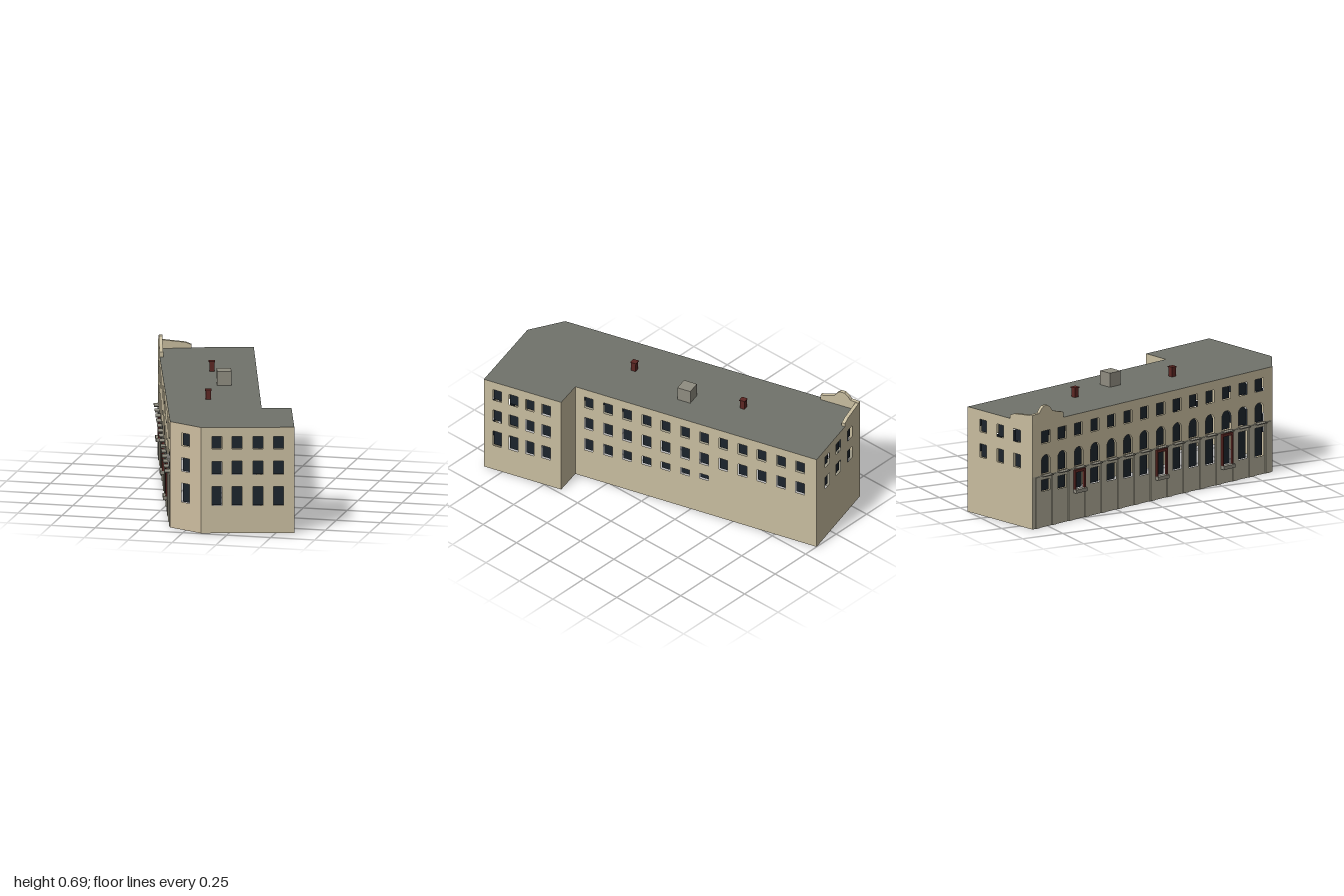
import * as THREE from 'three';

const mat = (color, side = THREE.DoubleSide) => new THREE.MeshStandardMaterial({ color, side });
const STONE = mat(0xc8bd9f), CORNER = mat(0xcdbd9f), BASE = mat(0xaba794), GLASS = mat(0x1c242c),
  ROOF = mat(0x70736b), RED = mat(0x5c2622), GREY = mat(0x8f8c80);
const H = 0.6, RECESS = 0.012, BAND = 0.297;

// Plan corners [x, z], counter-clockwise seen from above
const WN = [-0.6, -0.86], WS = [-0.1, 0.89], S = [0.1, 0.99], SE = [0.6, 0.86],
  NE = [0.47, 0.4], IN = [0.31, 0.44], N = [-0.09, -1];

function mesh(name, geo, material, parent, x = 0, y = 0, z = 0) {
  const m = new THREE.Mesh(geo, material);
  m.name = name;
  m.position.set(x, y, z);
  parent.add(m);
  return m;
}
const box = (name, w, h, d, material, parent, x, y, z) =>
  mesh(name, new THREE.BoxGeometry(w, h, d), material, parent, x, y, z);

// Window opening outline: rectangle, or round-headed when arched
function outline(o, C) {
  const p = new C(), l = o.x - o.w / 2, r = o.x + o.w / 2, R = o.arched ? o.w / 2 : 0;
  p.moveTo(l, o.y0);
  p.lineTo(r, o.y0);
  p.lineTo(r, o.y1 - R);
  if (R) p.absarc(o.x, o.y1 - R, R, 0, Math.PI, false);
  else p.lineTo(l, o.y1);
  p.closePath();
  return p;
}

// Group at wall corner a: +x runs along the wall to b, +z points outward
function wallFrame(name, a, b, parent) {
  const g = new THREE.Group();
  g.name = name;
  g.position.set(a[0], 0, a[1]);
  g.rotation.y = Math.atan2(a[1] - b[1], b[0] - a[0]);
  g.userData.length = Math.hypot(b[0] - a[0], b[1] - a[1]);
  parent.add(g);
  return g;
}

// Thin wall panel with openings and recessed panes
function panel(g, openings, y0 = 0, y1 = H, material = STONE) {
  const L = g.userData.length;
  const s = new THREE.Shape([[0, y0], [L, y0], [L, y1], [0, y1]].map(p => new THREE.Vector2(...p)));
  for (const o of openings) {
    s.holes.push(outline(o, THREE.Path));
    mesh('windowPane', new THREE.ShapeGeometry(outline(o, THREE.Shape), 8), GLASS, g, 0, 0, -RECESS);
  }
  mesh('wallPanel', new THREE.ShapeGeometry(s, 8), material, g);
}

const TOP = [0.477, 0.548], MID = [0.332, 0.408], LOW = [0.157, 0.264];
const win = (x, [y0, y1], w = 0.055, arched = false) => ({ x, y0, y1, w, arched });
const grid = (xs, rows) => xs.flatMap(x => rows.map(r => win(x, r)));

function buildWest(root) {
  const g = wallFrame('westFacade', WN, WS, root);
  const doors = { 2: 0.175, 7: 0.135, 11: 0.105 };
  const upper = [], lower = [], step = 0.1247, first = 0.1;
  for (let i = 0; i < 14; i++) {
    const x = first + i * step;
    upper.push(win(x, TOP, 0.062), win(x, [0.303, 0.411], 0.066, true));
    const sill = doors[i] ?? 0.205 - i * 0.0077;
    lower.push(win(x, [sill, 0.27], 0.066));
    box('balconySlab', 0.072, 0.006, 0.027, GREY, g, x, 0.296, 0.0135);
    if (doors[i]) {
      // Entrance surround and landing
      for (const side of [-1, 1])
        box('doorJamb', 0.01, 0.285 - sill, 0.014, RED, g, x + side * 0.036, (0.285 + sill) / 2, 0.007);
      box('doorLintel', 0.082, 0.015, 0.014, RED, g, x, 0.2775, 0.007);
      box('doorLanding', 0.085, 0.02, 0.027, GREY, g, x, sill - 0.01, 0.0135);
    }
  }
  panel(g, upper, BAND, H, STONE);
  panel(g, lower, 0, BAND, BASE);
  // Shallow piers between the ground floor bays
  for (let i = 0; i < 15; i++)
    box('basePier', 0.035, BAND - 0.005, 0.005, BASE, g, first + (i - 0.5) * step, (BAND - 0.005) / 2, 0.0025);
}

function parapet(name, g, pts) {
  const s = new THREE.Shape(pts.map(p => new THREE.Vector2(...p)));
  mesh(name, new THREE.ExtrudeGeometry(s, { depth: 0.02, bevelEnabled: false }), STONE, g, 0, 0, -0.02);
}

export function createModel() {
  const root = new THREE.Group();
  root.name = 'building';

  buildWest(root);
  panel(wallFrame('cornerWall', WS, S, root), grid([0.112], [TOP, MID, LOW]), 0, H, CORNER);
  panel(wallFrame('southWall', S, SE, root), grid([0.088, 0.2, 0.315, 0.428], [TOP, MID, LOW]));

  // Wing and long east wall: ground floor sills rise toward the back
  const wing = [0.083, 0.183, 0.284, 0.385];
  panel(wallFrame('wingWall', SE, NE, root), [...grid(wing, [TOP, MID]),
    ...wing.map((x, i) => win(x, [0.165 + i * 0.005, 0.264]))]);
  panel(wallFrame('returnWall', NE, IN, root), []);
  const east = Array.from({ length: 12 }, (_, i) => 0.083 + i * 0.119);
  panel(wallFrame('eastWall', IN, N, root), [...grid(east, [TOP, MID]),
    ...east.slice(0, 7).map((x, i) => win(x, [0.185 + i * 0.0075, 0.263]))]);
  const north = wallFrame('northWall', N, WN, root);
  panel(north, grid([0.127, 0.265, 0.402], [TOP, MID]));

  // Flat roof
  const plan = new THREE.Shape([WN, WS, S, SE, NE, IN, N].map(([x, z]) => new THREE.Vector2(x, -z)));
  mesh('roof', new THREE.ShapeGeometry(plan).rotateX(-Math.PI / 2), ROOF, root, 0, H, 0);

  // Ornamental parapet around the back left corner
  parapet('westParapet', wallFrame('westParapetFrame', WN, WS, root), [[0, H], [0.235, H], [0.235, 0.63],
    [0.185, 0.643], [0.15, 0.655], [0.135, 0.675], [0.115, 0.692], [0.085, 0.692], [0.065, 0.675],
    [0.05, 0.655], [0, 0.652]]);
  const L = north.userData.length;
  parapet('northParapet', north, [[L - 0.185, H], [L, H], [L, 0.652], [L - 0.07, 0.643],
    [L - 0.15, 0.634], [L - 0.185, 0.62]]);

  // Rooftop housing and chimneys
  const turn = 0.268;
  box('roofHousing', 0.08, 0.08, 0.08, GREY, root, -0.033, H + 0.04, -0.083).rotation.y = turn;
  for (const [x, z] of [[-0.174, -0.375], [-0.027, 0.305]]) {
    const c = new THREE.Group();
    c.name = 'chimney';
    c.position.set(x, H, z);
    c.rotation.y = turn;
    box('chimneyStack', 0.028, 0.052, 0.028, RED, c, 0, 0.026, 0);
    box('chimneyCap', 0.035, 0.006, 0.035, RED, c, 0, 0.054, 0);
    root.add(c);
  }
  return root;
}
